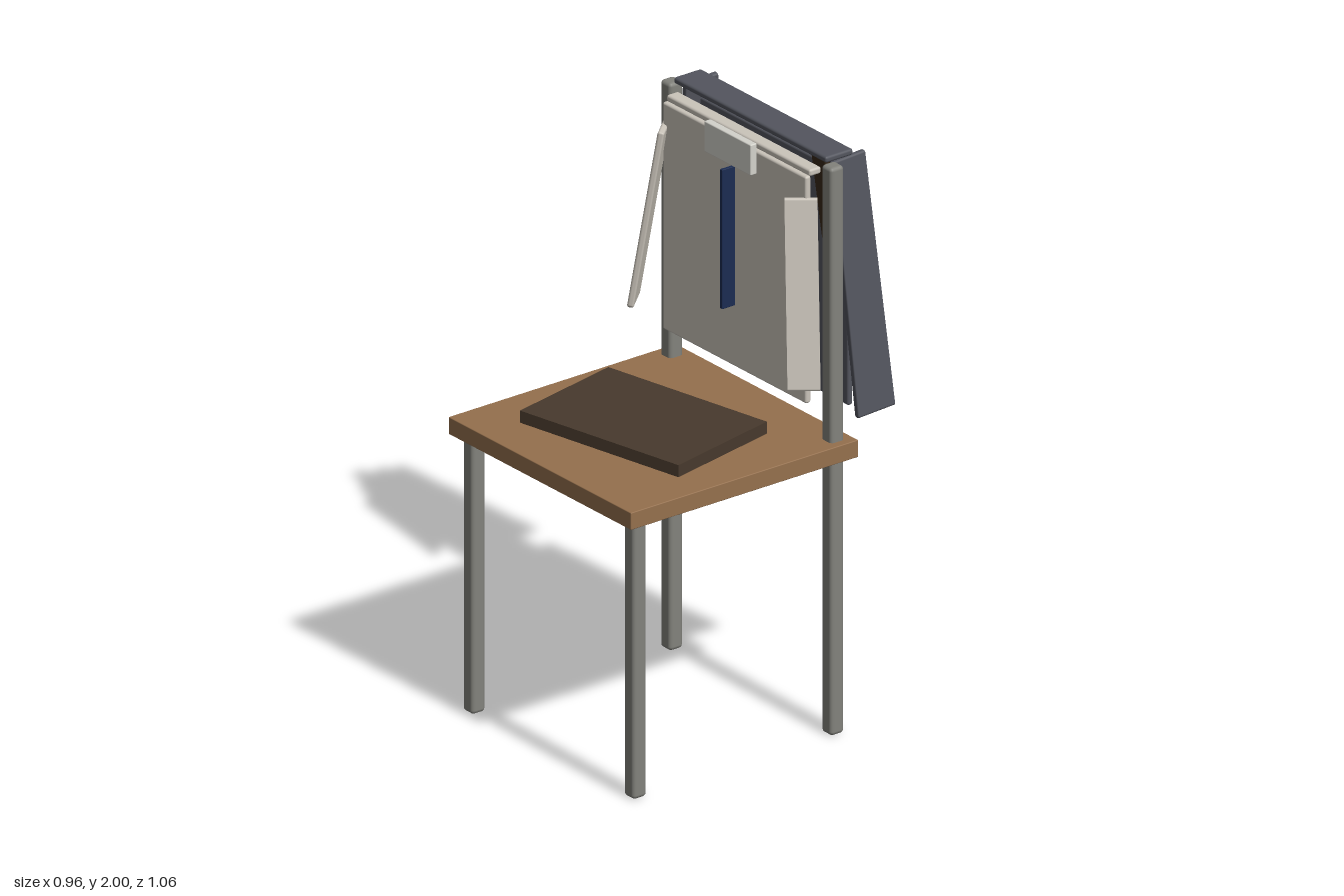
import * as THREE from 'three';
import { RoundedBoxGeometry } from 'three/addons/geometries/RoundedBoxGeometry.js';

const mat = (color) => new THREE.MeshStandardMaterial({ color });
const METAL = mat(0x82827c), WOOD = mat(0x95704d), BOOK = mat(0x483a2d);
const SHIRT = mat(0xcbc5bb), COLLAR = mat(0xd4d3cc), JACKET = mat(0x53555e);
const TIE = mat(0x1b2c52), STRAP = mat(0x3a2a18);

// Softened box given by its extents [min, max] on each axis
function slab(name, material, [x0, x1], [y0, y1], [z0, z1], radius = 0.008) {
  const geo = new RoundedBoxGeometry(x1 - x0, y1 - y0, z1 - z0, 2, radius);
  const mesh = new THREE.Mesh(geo, material);
  mesh.position.set((x0 + x1) / 2, (y0 + y1) / 2, (z0 + z1) / 2);
  mesh.name = name;
  return mesh;
}

// Thin plank hung between two points, with its flat side along widthDir
function plank(name, material, top, bottom, widthDir, topWidth, bottomWidth, thick) {
  const up = top.clone().sub(bottom);
  const length = up.length();
  up.normalize();
  const normal = widthDir.clone().cross(up).normalize();
  const across = up.clone().cross(normal);
  const geo = new RoundedBoxGeometry(1, length, thick, 2, thick * 0.35);
  const pos = geo.attributes.position;
  for (let i = 0; i < pos.count; i++) {
    const t = pos.getY(i) / length + 0.5;
    pos.setX(i, pos.getX(i) * THREE.MathUtils.lerp(bottomWidth, topWidth, t));
  }
  geo.applyMatrix4(new THREE.Matrix4().makeBasis(across, up, normal));
  const mesh = new THREE.Mesh(geo, material);
  mesh.position.copy(top).add(bottom).multiplyScalar(0.5);
  mesh.name = name;
  return mesh;
}

export function createModel() {
  const model = new THREE.Group();
  const V = (x, y, z) => new THREE.Vector3(x, y, z);

  // Chair
  const chair = new THREE.Group();
  chair.name = 'chair';
  chair.add(slab('seat', WOOD, [-0.47, 0.47], [0.965, 1.025], [-0.385, 0.53], 0.003));
  for (const s of [-1, 1]) {
    const x = [s * 0.415 - 0.027, s * 0.415 + 0.027];
    chair.add(slab('frontLeg', METAL, x, [0.005, 0.968], [0.443, 0.497], 0.013));
    chair.add(slab('backPost', METAL, x, [0.005, 1.98], [-0.352, -0.298], 0.013));
  }

  // Book lying askew above the seat
  const book = new THREE.Mesh(new THREE.BoxGeometry(0.655, 0.042, 0.437), BOOK);
  book.name = 'book';
  book.position.set(0, 1.058, 0.113);
  book.rotation.y = 0.211;

  // Shirt hung on the front of the back
  const shirt = new THREE.Group();
  shirt.name = 'shirt';
  shirt.add(
    slab('shirtFront', SHIRT, [-0.37, 0.37], [1.15, 1.94], [-0.274, -0.252]),
    slab('shirtShoulders', SHIRT, [-0.37, 0.37], [1.936, 1.96], [-0.315, -0.268]),
    slab('shirtCollar', COLLAR, [-0.12, 0.12], [1.863, 1.97], [-0.251, -0.225], 0.004),
    slab('tie', TIE, [-0.006, 0.006], [1.365, 1.85], [-0.253, -0.2], 0.002),
  );

  // Jacket hung on the rear of the back
  const jacket = new THREE.Group();
  jacket.name = 'jacket';
  jacket.add(
    slab('jacketBack', JACKET, [-0.385, 0.385], [1.105, 1.91], [-0.43, -0.41]),
    slab('jacketShoulders', JACKET, [-0.393, 0.393], [1.978, 2], [-0.425, -0.315]),
    slab('jacketCollar', JACKET, [-0.175, 0.175], [1.865, 1.932], [-0.457, -0.427]),
  );

  // Sleeves, mirrored on both sides
  for (const s of [-1, 1]) {
    shirt.add(plank('shirtSleeve', SHIRT, V(s * 0.352, 1.865, -0.246), V(s * 0.44, 1.24, -0.19),
      V(-s * 0.66, 0, 0.75), 0.105, 0.105, 0.022));
    jacket.add(plank('jacketSleeve', JACKET, V(s * 0.378, 1.975, -0.413), V(s * 0.468, 1.105, -0.455),
      V(0, 0, 1), 0.127, 0.147, 0.022));
  }

  // Strap slanting down through the jacket back
  jacket.add(plank('strap', STRAP, V(0.283, 1.985, -0.375), V(0.283, 1.5, -0.443),
    V(1, 0, 0), 0.065, 0.065, 0.025));

  model.add(chair, book, shirt, jacket);
  return model;
}
